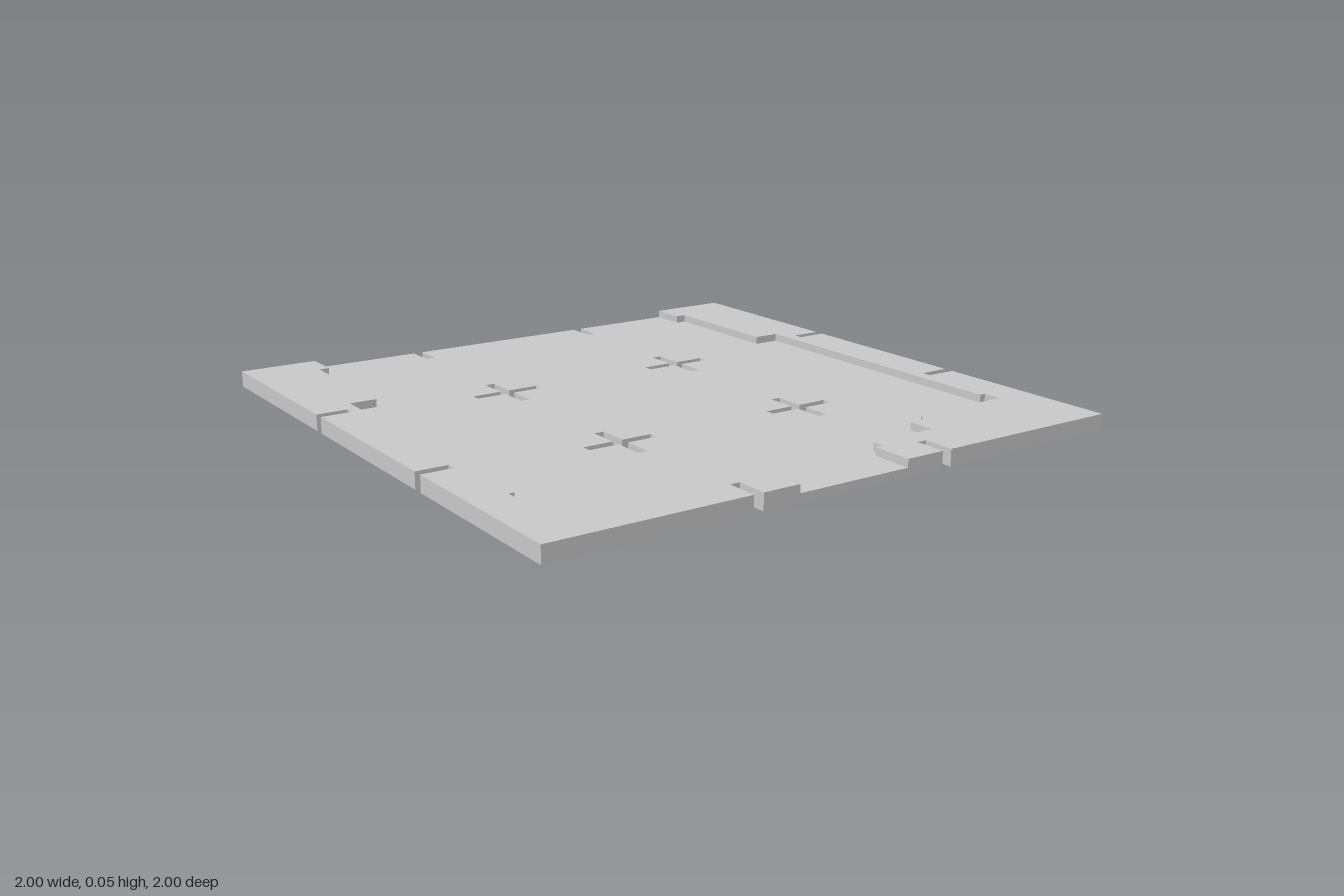
import * as THREE from 'three';

const FLOOR = 0.027, TOP = 0.053;       // heights of the floor and of the rim
const C = 0.34, W = 0.0165, D = 0.103;  // slot centre, half width, depth from the edge
const ARM = 0.118;                      // half length of a cross slot

export function createModel() {
  const group = new THREE.Group();
  const material = new THREE.MeshStandardMaterial({ color: 0xcccccc, flatShading: true });

  // Points are [x, z] on the plan; the plate is extruded upwards from y
  const toVectors = (points) => points.map(([x, z]) => new THREE.Vector2(x, -z));
  function addPlate(name, points, holes, y, height) {
    const shape = new THREE.Shape(toVectors(points));
    shape.holes = holes.map((hole) => new THREE.Path(toVectors(hole)));
    const geometry = new THREE.ExtrudeGeometry(shape, { depth: height, bevelEnabled: false });
    geometry.rotateX(-Math.PI / 2).translate(0, y, 0);
    const mesh = new THREE.Mesh(geometry, material);
    mesh.name = name;
    group.add(mesh);
  }

  // Square outline with two slots in each side, made by turning one side
  const side = [[-1, 1]];
  for (const c of [-C, C]) side.push([c - W, 1], [c - W, 1 - D], [c + W, 1 - D], [c + W, 1]);
  const outline = [];
  let edge = side;
  for (let k = 0; k < 4; k++) {
    outline.push(...edge);
    edge = edge.map(([x, z]) => [z, -x]);
  }

  // Four cross-shaped holes through the floor
  const crosses = [];
  for (const cx of [-C, C]) {
    for (const cz of [-C, C]) {
      const cross = [];
      let arm = [[ARM, -W], [ARM, W], [W, W]];
      for (let k = 0; k < 4; k++) {
        cross.push(...arm.map(([x, z]) => [cx + x, cz + z]));
        arm = arm.map(([x, z]) => [-z, x]);
      }
      crosses.push(cross);
    }
  }
  addPlate('floor', outline, crosses, 0, FLOOR);

  // Raised rims: stepped inner edge from back to front, then the slotted outer edge
  const outer = (s) => [
    [s * (C - W), 1], [s * (C - W), 1 - D], [s * (C + W), 1 - D], [s * (C + W), 1], [s, 1],
    ...[C, -C].flatMap((c) => [[s, c + W], [s * (1 - D), c + W], [s * (1 - D), c - W], [s, c - W]]),
    [s, -1],
  ];
  const rightInner = [
    [-0.737, -1], [-0.737, -0.877], [-0.772, -0.877], [-0.772, -0.417], [-0.863, -0.417],
    [-0.863, 0.631], [-0.88, 0.631], [-0.88, 0.693], [-0.567, 0.693], [-0.519, 0.751],
    [-0.369, 0.751], [-0.369, 0.837], [-0.233, 0.837], [-0.233, 0.866], [-0.2, 0.866], [-0.2, 1],
  ];
  const leftInner = [
    [0.725, -1], [0.725, -0.877], [0.762, -0.877], [0.762, -0.417], [0.853, -0.417],
    [0.853, 0.631], [0.874, 0.631], [0.874, 0.693], [0.62, 0.693], [0.62, 0.682], [0.545, 0.682],
    [0.5, 0.733], [0.452, 0.733], [0.452, 0.824], [0.219, 0.824], [0.219, 0.866], [0.19, 0.866], [0.19, 1],
  ];
  addPlate('rightRim', [...rightInner, ...outer(-1)], [], FLOOR, TOP - FLOOR);
  addPlate('leftRim', [...leftInner, ...outer(1)], [], FLOOR, TOP - FLOOR);

  return group;
}
